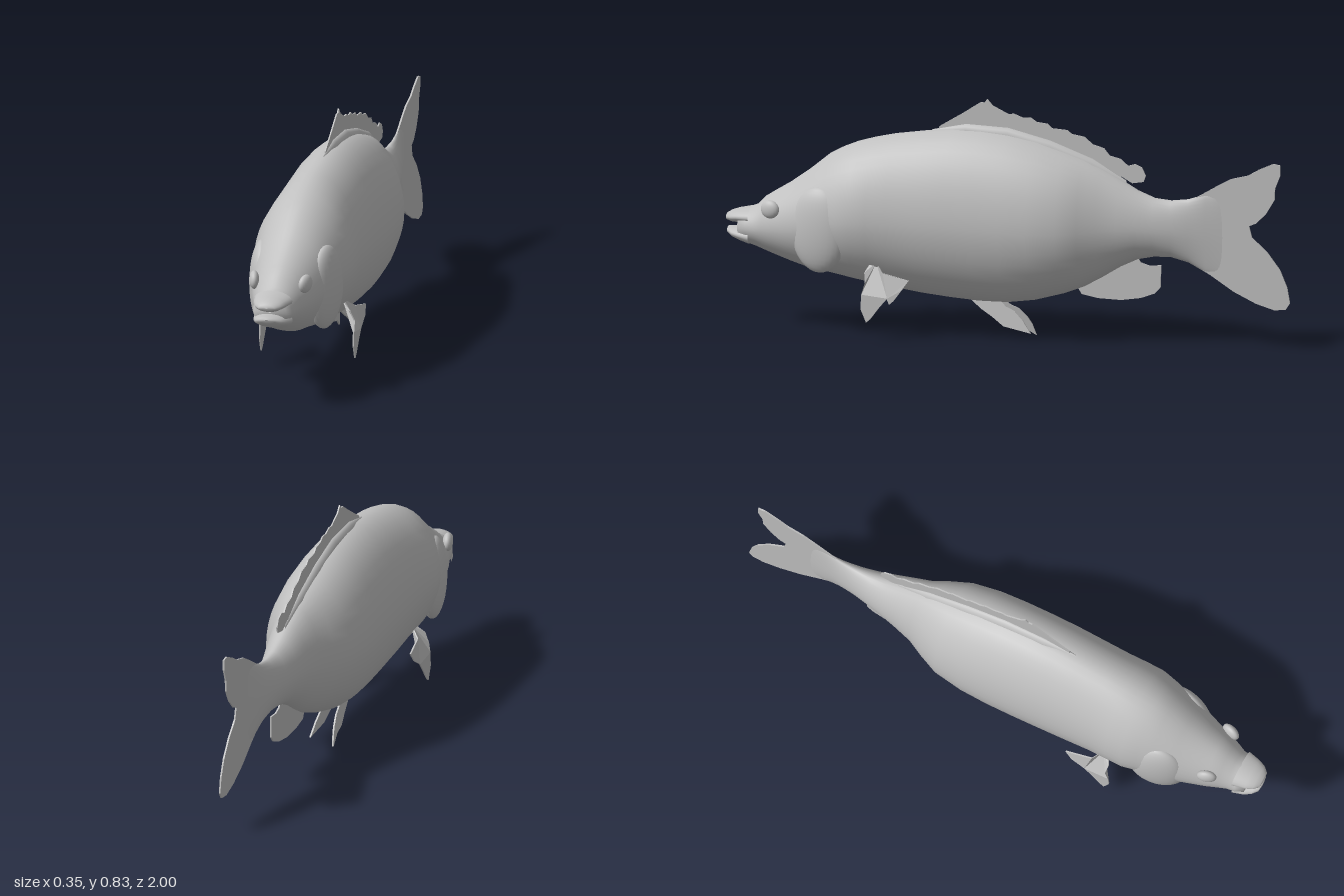
import * as THREE from 'three';

const skin = new THREE.MeshStandardMaterial({ color: 0xc0c0c0 });
skin.name = 'plain grey';

// Closed smooth skin through oval sections [z, top, bottom, halfWidth], nose to tail
function loft(sections, sides = 32, mid = 0.46) {
  const pos = [], idx = [];
  const pw = (v, e) => Math.sign(v) * Math.abs(v) ** e;
  sections.forEach(([z, top, bottom, w], i) => {
    const cy = bottom + (top - bottom) * mid;
    for (let j = 0; j < sides; j++) {
      const a = (j / sides) * Math.PI * 2, s = Math.sin(a);
      pos.push(w * pw(Math.cos(a), 1.06), cy + pw(s, 1.06) * (s > 0 ? top - cy : cy - bottom), z);
      if (i === sections.length - 1) continue;
      const k = (j + 1) % sides, p = i * sides, q = p + sides;
      idx.push(p + j, q + j, p + k, p + k, q + j, q + k);
    }
  });
  const g = new THREE.BufferGeometry();
  g.setAttribute('position', new THREE.Float32BufferAttribute(pos, 3));
  g.setIndex(idx);
  g.computeVertexNormals();
  return g;
}

// Thin plate from a [z, y] outline; bend(y, z) shifts it sideways
function fin(outline, thick, bend) {
  const shape = new THREE.Shape(outline.map(([z, y]) => new THREE.Vector2(z, y)));
  const g = new THREE.ExtrudeGeometry(shape, { depth: thick, bevelEnabled: false });
  g.translate(0, 0, -thick / 2).rotateY(-Math.PI / 2);
  if (bend) {
    const p = g.attributes.position;
    for (let i = 0; i < p.count; i++) p.setX(i, p.getX(i) + bend(p.getY(i), p.getZ(i)));
    g.computeVertexNormals();
  }
  return g;
}

export function createModel() {
  const fish = new THREE.Group();
  fish.name = 'fish';
  const add = (name, geometry) => {
    const m = new THREE.Mesh(geometry, skin);
    m.name = name;
    fish.add(m);
    return m;
  };

  // Body from muzzle to tail root
  add('body', loft([
    [0.955, 0.365, 0.355, 0.005], [0.95, 0.41, 0.305, 0.058], [0.92, 0.42, 0.292, 0.07],
    [0.89, 0.43, 0.282, 0.073], [0.86, 0.46, 0.27, 0.085], [0.82, 0.485, 0.255, 0.1],
    [0.77, 0.515, 0.237, 0.115], [0.7, 0.565, 0.215, 0.138], [0.63, 0.622, 0.203, 0.152],
    [0.58, 0.648, 0.193, 0.165], [0.53, 0.668, 0.183, 0.176], [0.47, 0.685, 0.172, 0.175],
    [0.4, 0.7, 0.16, 0.172], [0.3, 0.714, 0.145, 0.174], [0.2, 0.726, 0.134, 0.176],
    [0.1, 0.726, 0.126, 0.177], [0, 0.717, 0.125, 0.177], [-0.1, 0.697, 0.138, 0.174],
    [-0.2, 0.665, 0.165, 0.16], [-0.27, 0.64, 0.192, 0.13], [-0.33, 0.612, 0.225, 0.1],
    [-0.4, 0.573, 0.268, 0.083], [-0.46, 0.538, 0.296, 0.069], [-0.52, 0.514, 0.308, 0.055],
    [-0.58, 0.508, 0.308, 0.041], [-0.64, 0.515, 0.292, 0.028], [-0.7, 0.535, 0.26, 0.013],
    [-0.76, 0.54, 0.25, 0.003], [-0.765, 0.41, 0.4, 0.001],
  ], 40));

  // Parted lips
  add('upperLip', loft([
    [1, 0.387, 0.383, 0.006], [0.997, 0.396, 0.372, 0.03], [0.98, 0.406, 0.366, 0.047],
    [0.955, 0.414, 0.364, 0.058], [0.91, 0.423, 0.36, 0.069],
  ], 24));
  add('lowerLip', loft([
    [0.997, 0.342, 0.338, 0.006], [0.993, 0.35, 0.327, 0.03], [0.975, 0.35, 0.312, 0.047],
    [0.95, 0.352, 0.302, 0.06], [0.91, 0.358, 0.288, 0.07],
  ], 24));

  // Eyes and gill covers
  for (const [side, s] of [['left', 1], ['right', -1]]) {
    const eye = add(side + 'Eye', new THREE.SphereGeometry(1, 20, 14));
    eye.scale.set(0.018, 0.032, 0.035);
    eye.position.set(s * 0.092, 0.43, 0.825);
    eye.rotation.y = -s * 0.3;
    const gill = add(side + 'GillCover', new THREE.SphereGeometry(1, 28, 18));
    gill.scale.set(0.045, 0.15, 0.105);
    gill.position.set(s * 0.113, 0.37, 0.645);
    gill.rotation.y = -s * 0.2;
  }

  // Dorsal fin with ragged edge, rising from a low ridge
  add('dorsalRidge', loft([
    [0.27, 0.72, 0.7, 0.004], [0.15, 0.745, 0.69, 0.02], [0, 0.738, 0.68, 0.022],
    [-0.15, 0.7, 0.64, 0.022], [-0.3, 0.643, 0.58, 0.02], [-0.42, 0.57, 0.53, 0.004],
  ], 16));
  add('dorsalFin', fin([
    [0.25, 0.715], [0.245, 0.732], [0.165, 0.78], [0.1, 0.822], [0.085, 0.822], [0.075, 0.835],
    [0.055, 0.812], [0, 0.785], [-0.02, 0.787], [-0.05, 0.775], [-0.08, 0.776], [-0.1, 0.762],
    [-0.14, 0.757], [-0.155, 0.742], [-0.21, 0.738], [-0.225, 0.725], [-0.27, 0.717],
    [-0.3, 0.692], [-0.34, 0.68], [-0.36, 0.655], [-0.4, 0.645], [-0.425, 0.622],
    [-0.45, 0.63], [-0.475, 0.618], [-0.488, 0.59], [-0.48, 0.568], [-0.44, 0.562],
    [-0.4, 0.585], [-0.35, 0.57], [-0.2, 0.63], [0, 0.68],
  ], 0.005));

  // Forked tail
  add('tailFin', fin([
    [-0.62, 0.5], [-0.68, 0.53], [-0.74, 0.565], [-0.79, 0.592], [-0.85, 0.607], [-0.89, 0.63],
    [-0.94, 0.652], [-0.965, 0.648], [-0.965, 0.61], [-0.947, 0.565], [-0.945, 0.525],
    [-0.915, 0.475], [-0.88, 0.44], [-0.855, 0.43], [-0.865, 0.39], [-0.92, 0.34],
    [-0.965, 0.28], [-0.99, 0.22], [-1, 0.165], [-0.985, 0.142], [-0.945, 0.138],
    [-0.88, 0.158], [-0.8, 0.197], [-0.72, 0.25], [-0.66, 0.285], [-0.62, 0.31],
  ], 0.006));

  // Anal fin
  add('analFin', fin([
    [-0.24, 0.2], [-0.26, 0.165], [-0.32, 0.153], [-0.4, 0.15], [-0.47, 0.16], [-0.52, 0.178],
    [-0.54, 0.2], [-0.543, 0.278], [-0.5, 0.275], [-0.47, 0.285], [-0.45, 0.32], [-0.35, 0.28],
  ], 0.006));

  // Paired fins: pectorals hang from a curved shoulder, pelvics splay backwards
  for (const [side, s] of [['left', 1], ['right', -1]]) {
    add(side + 'PectoralFin', fin([
      [0.46, 0.265], [0.475, 0.235], [0.47, 0.2], [0.482, 0.16], [0.485, 0.11], [0.465, 0.062],
      [0.45, 0.075], [0.42, 0.115], [0.39, 0.15], [0.34, 0.18], [0.315, 0.215], [0.36, 0.225],
      [0.41, 0.235], [0.44, 0.265],
    ], 0.005, (y) => s * (0.168 - Math.max(0, y - 0.195) ** 2 * 10)));
    add(side + 'PelvicFin', fin([
      [0.14, 0.14], [0.09, 0.1], [0.05, 0.075], [0.01, 0.045], [-0.04, 0.035],
      [-0.09, s > 0 ? 0.025 : 0.004], [-0.075, 0.045], [-0.06, 0.068], [-0.03, 0.098],
      [0, 0.112], [0.03, 0.14],
    ], 0.006, (y, z) => s * (0.014 + (0.14 - z) * 0.07 + (0.14 - y) * 0.1)));
  }
  return fish;
}
